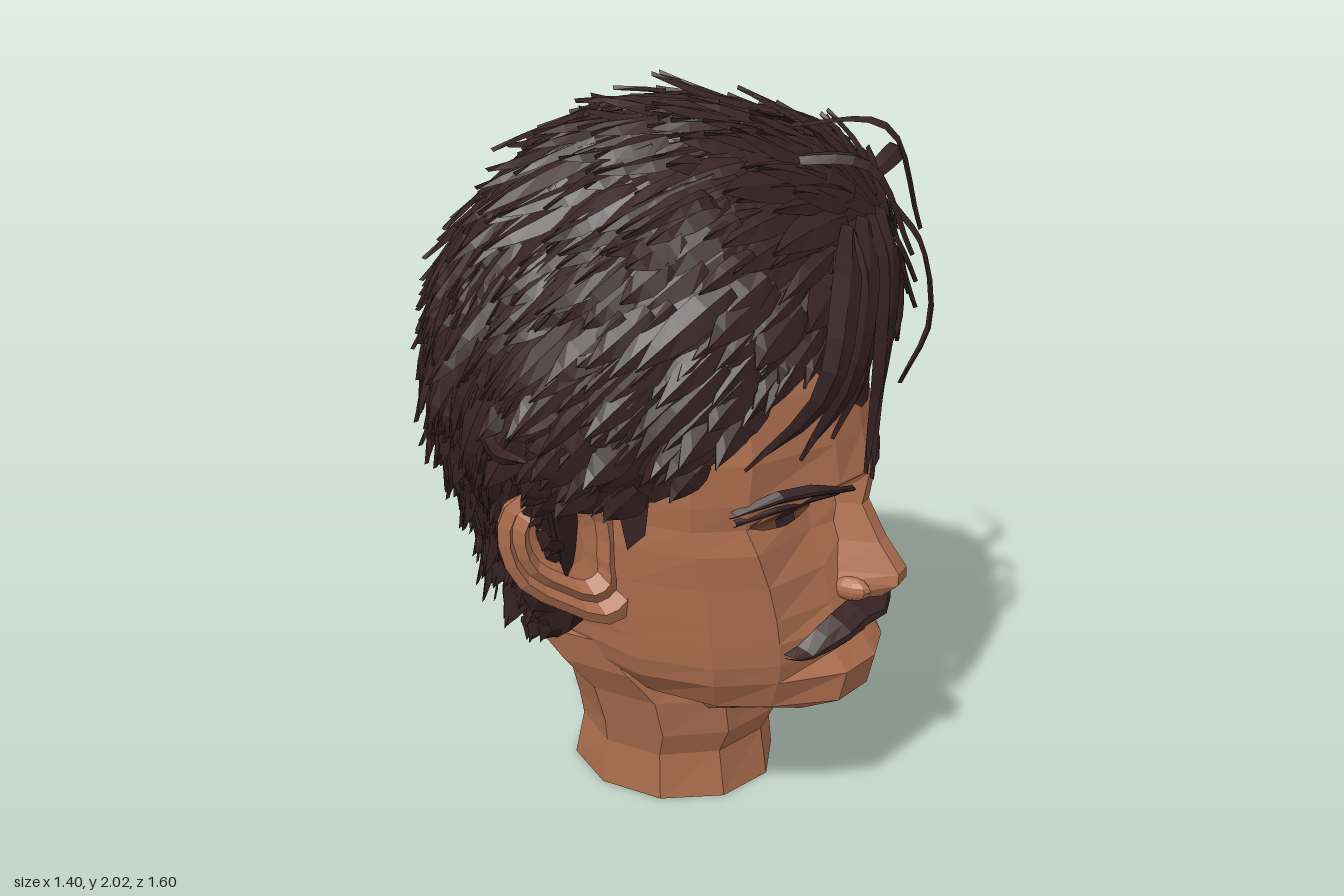
import * as THREE from 'three';
import { mergeGeometries } from 'three/addons/utils/BufferGeometryUtils.js';

const V = (x, y, z) => new THREE.Vector3(x, y, z);
const mat = (name, color) => new THREE.MeshStandardMaterial({ name, color, flatShading: true, side: THREE.DoubleSide });
let seed = 7;
const rnd = () => (seed = (seed * 16807) % 2147483647) / 2147483647;
const { lerp, clamp, smoothstep } = THREE.MathUtils;

// Skin over cross-section rings; optional end caps and open rings
function loft(rings, capA = true, capB = true, closed = true) {
  const n = rings[0].length, pts = rings.flat(), idx = [];
  for (let i = 0; i < rings.length - 1; i++)
    for (let j = 0; j < (closed ? n : n - 1); j++) {
      const a = i * n + j, b = i * n + (j + 1) % n;
      idx.push(a, a + n, b, b, a + n, b + n);
    }
  const cap = (ring, base, flip) => {
    pts.push(ring.reduce((s, p) => s.add(p), V(0, 0, 0)).divideScalar(n));
    for (let j = 0; j < n; j++) {
      const a = base + j, b = base + (j + 1) % n;
      flip ? idx.push(pts.length - 1, a, b) : idx.push(pts.length - 1, b, a);
    }
  };
  if (capA) cap(rings[0], 0, true);
  if (capB) cap(rings[rings.length - 1], (rings.length - 1) * n, false);
  const g = new THREE.BufferGeometry().setFromPoints(pts);
  g.setIndex(idx);
  const out = g.toNonIndexed();
  out.computeVertexNormals();
  return out;
}

// Head levels: y, front x, mid x, cheek x, cheek z, side z
const HEAD = [
  [.32, .36, .34, .28, .16, .18], [.355, .50, .48, .38, .18, .23], [.41, .62, .59, .44, .25, .32],
  [.50, .64, .61, .47, .27, .40], [.56, .595, .57, .48, .28, .42], [.63, .61, .58, .48, .29, .43],
  [.70, .59, .555, .475, .30, .44], [.80, .57, .53, .46, .32, .45], [.90, .55, .49, .44, .35, .46],
  [.97, .545, .475, .41, .36, .46], [1.04, .60, .565, .42, .37, .47], [1.15, .57, .55, .43, .37, .48],
  [1.30, .54, .525, .41, .36, .50], [1.50, .49, .47, .36, .36, .50], [1.75, .30, .28, .20, .25, .30]];
const MID_Z = .13, SIDE_X = .12;

// Half outline points of one level, front to side
function faceLine([y, xf, xm, xc, zc, zs]) {
  const round = V(lerp(xc, SIDE_X, .5) + .03, y, lerp(zc, zs, .5) + .03);
  return [V(xf, y, 0), V(xm, y, MID_Z), V(xc, y, zc), round, V(SIDE_X, y, zs)];
}

function headRing(level) {
  const [front, ...half] = faceLine(level), y = level[0], zs = level[5];
  const back = -.27 - .27 * smoothstep(y, .3, .9) + .24 * smoothstep(y, 1.3, 1.8);
  half.push(V(lerp(back, SIDE_X, .25), y, zs * .75));
  const other = half.map(p => V(p.x, y, -p.z)).reverse();
  return [front, ...half, V(back, y, 0), ...other];
}

// Depth of the face at a height and a distance from the middle
function faceX(y, z) {
  let i = 0;
  while (i < HEAD.length - 2 && HEAD[i + 1][0] < y) i++;
  const t = clamp((y - HEAD[i][0]) / (HEAD[i + 1][0] - HEAD[i][0]), 0, 1);
  const line = faceLine(HEAD[i].map((v, k) => lerp(v, HEAD[i + 1][k], t)));
  const a = Math.abs(z);
  let k = 0;
  while (k < line.length - 2 && line[k + 1].z < a) k++;
  return lerp(line[k].x, line[k + 1].x, (a - line[k].z) / (line[k + 1].z - line[k].z));
}

// Strip lying on the face: rows of z, low y, high y, with a bulge
function faceStrip(rows, off, bulge = 0) {
  const rings = rows.map(([z, lo, hi]) => Array.from({ length: 6 }, (_, k) => {
    const y = lerp(lo, hi, k / 5);
    return V(faceX(y, z) + off + bulge * Math.sin(Math.PI * k / 5), y, z);
  }));
  return loft(rings, false, false, false);
}
const flipRows = rows => rows.map(([z, a, b]) => [-z, a, b]).reverse();

// Hair volume: stretched ball around a centre inside the head
const C = V(0, 1.25, 0);
function hull(dir, scale = 1) {
  const d = dir.clone().normalize();
  const ex = d.x > 0 ? .6 : .64, ey = d.y > 0 ? .715 : 1.12;
  const ez = .72 - .14 * smoothstep(-d.y, -.1, .7) - .07 * clamp(d.x * 1.5, 0, 1);
  const p = 1.92 + .8 * clamp(d.x * 2, 0, 1);
  const s = Math.abs(d.x / ex) ** p + Math.abs(d.y / ey) ** p + Math.abs(d.z / ez) ** p;
  return d.multiplyScalar(scale * s ** (-1 / p)).add(C);
}
// Lower hair edge by angle from the face, over temple, ear and nape
const HEM = [[0, 1.42], [.6, 1.42], [.85, 1.25], [1.1, 1.1], [1.55, 1.08], [1.67, .62], [1.95, .53], [3.2, .51]];
function hem(x, z) {
  const a = Math.atan2(Math.abs(z), x);
  let i = 0;
  while (HEM[i + 1][0] < a && i < HEM.length - 2) i++;
  return lerp(HEM[i][1], HEM[i + 1][1], (a - HEM[i][0]) / (HEM[i + 1][0] - HEM[i][0]));
}

function hairCap() {
  const cols = 72, rows = 14, rings = Array.from({ length: rows + 2 }, () => []);
  for (let j = 0; j < cols; j++) {
    const a = j / cols * Math.PI * 2, ca = Math.cos(a), sa = Math.sin(a);
    const at = phi => hull(V(ca * Math.cos(phi), Math.sin(phi), sa * Math.cos(phi)), .97);
    let lo = -1.5, hi = 1.5;
    for (let k = 0; k < 24; k++) {
      const m = (lo + hi) / 2;
      if (at(m).y < hem(ca, sa)) lo = m; else hi = m;
    }
    const edge = at(lo);
    rings[0].push(V(edge.x * .78, edge.y + .02, edge.z * .74));
    for (let i = 0; i <= rows; i++) rings[i + 1].push(at(lerp(lo, 1.54, i / rows)));
  }
  return loft(rings, false, true);
}

// Tapered lock with a raised middle ridge
function lock(path, width) {
  const n = path.length - 1;
  const rings = path.map((p, i) => {
    const t = path[Math.min(n, i + 1)].clone().sub(path[Math.max(0, i - 1)]).normalize();
    const out = p.clone().sub(C).normalize();
    const side = t.clone().cross(out).normalize();
    const w = width * Math.sin(Math.PI * (.2 + .79 * i / n)) / 2;
    return [p.clone().addScaledVector(side, -w), p.clone().addScaledVector(out, .012), p.clone().addScaledVector(side, w)];
  });
  return loft(rings, false, false, false);
}
const curvedLock = (points, width) => lock(new THREE.CatmullRomCurve3(points).getPoints(10), width);

// Locks combed away from a whorl above the forehead
function combedLocks(count) {
  const whorl = V(.52, 1.62, -.2), dark = [], brown = [], patch = V(-.2, 1.45, -.66);
  while (dark.length < count) {
    const u = rnd() * 2 - 1, a = rnd() * Math.PI * 2, r = Math.sqrt(1 - u * u);
    let p = hull(V(r * Math.cos(a), u, r * Math.sin(a)));
    if (p.y < hem(p.x, p.z) + .03) continue;
    const len = .16 + rnd() * .22, lift = rnd() ** 2 * .1, base = .975 + rnd() * .025, path = [];
    const swirl = (rnd() - .5) * .6;
    for (let i = 0; i < 5; i++) {
      path.push(hull(p.clone().sub(C), base + lift * (i / 4) ** 2));
      const d = p.clone().sub(whorl).normalize();
      d.y -= .25 + .9 * smoothstep(-p.x, -.1, .5);
      d.z += swirl * i / 3;
      p = hull(p.clone().addScaledVector(d.normalize(), len / 4).sub(C));
    }
    const tip = path[4];
    if (tip.y < hem(tip.x, tip.z) - .06) continue;
    const isBrown = rnd() < .008 || (path[2].distanceTo(patch) < .16 && rnd() < .4);
    (isBrown ? brown : dark).push(lock(path, .05 + rnd() * .06));
  }
  return [mergeGeometries(dark), mergeGeometries(brown)];
}

// Forelock falling from the whorl over the hair edge to a free tip
function forelock(width, z0, x1, y1, z1) {
  const over = (y, k, s) => hull(V(.56, y, lerp(z0, z1, k)).sub(C), s);
  return curvedLock([V(.55, 1.7, z0), over(1.57, .45, 1.09), over(1.36, .8, 1.1), V(x1, y1, z1)], width);
}

// Ear leaf: back, rim, inner fold and hollow
function ear(s) {
  const outline = new THREE.CatmullRomCurve3([[0, .8], [0, 1], [.06, 1.09], [.18, 1.11], [.28, 1.05],
    [.3, .95], [.26, .82], [.16, .73], [.06, .67], [0, .71]].map(([u, v]) => V(u, v, 0)), true).getPoints(20).slice(0, 20);
  const ring = (k, depth) => outline.map(q => {
    const u = lerp(.14, q.x, k), y = lerp(.91, q.y, k);
    return V(.12 - .78 * u + .78 * depth, y, s * (.44 + .87 * u + .62 * depth - .06 * (1.1 - y)));
  });
  return loft([ring(.55, -.1), ring(.92, -.05), ring(1, 0), ring(.85, .012), ring(.76, -.025),
    ring(.62, -.005), ring(.5, -.045), ring(.3, -.055)]);
}

export function createModel() {
  const model = new THREE.Group();
  const skin = mat('skin', 0xb07050), hair = mat('dark hair', 0x362224), brown = mat('brown', 0x683f2b);
  const add = (name, geo, m) => {
    const mesh = new THREE.Mesh(geo, m);
    mesh.name = name;
    model.add(mesh);
    return mesh;
  };

  add('head', loft(HEAD.map(headRing)), skin);

  // Neck levels: y, front x, back x, half width
  const neck = [[0, .31, -.31, .27], [.15, .29, -.27, .27], [.23, .33, -.28, .29], [.35, .33, -.3, .32],
    [.45, .28, -.37, .37], [.55, .18, -.44, .39]];
  add('neck', loft(neck.map(([y, f, b, w]) => Array.from({ length: 10 }, (_, i) => {
    const a = i / 10 * Math.PI * 2;
    return V((f + b) / 2 + (f - b) / 2 * Math.cos(a), y, w * 1.04 * Math.sin(a) - .03 * (1 - y));
  }))), skin);

  // Nose levels: y, ridge x, half width, ridge half width
  const nose = [[.685, .6, .07, .03], [.70, .66, .095, .035], [.74, .705, .1, .035], [.77, .705, .09, .03],
    [.85, .645, .07, .026], [.95, .59, .055, .025], [1.04, .605, .05, .02]];
  add('nose', loft(nose.map(([y, x, w, r]) => {
    const b = faceX(y, w) - .02;
    return [V(b, y, -w), V(x, y, -r), V(x, y, r), V(b, y, w)];
  })), skin);

  // Face features in pairs
  const brow = [[.05, .985, 1.01], [.13, 1.005, 1.035], [.22, 1.025, 1.065], [.31, 1.03, 1.07], [.40, 1.01, 1.03]];
  const eye = [[.13, .965, .975], [.18, .95, .995], [.25, .945, 1.0], [.31, .955, 1.0], [.36, .975, .985]];
  const iris = [[.2, .95, 1.0], [.235, .946, 1.005], [.27, .95, 1.0]];
  const lid = [[.08, .98, 1.0], [.2, .993, 1.015], [.3, .995, 1.02], [.39, .98, 1.005]];
  const burn = new THREE.Shape([[-.05, 1.14], [-.04, 1], [-.02, .91], [.03, .96], [.05, 1.14]].map(q => new THREE.Vector2(...q)));
  for (const s of [1, -1]) {
    const side = s > 0 ? 'left' : 'right', m = rows => s > 0 ? rows : flipRows(rows);
    add(side + 'Ear', ear(s), skin);
    add(side + 'Eyebrow', faceStrip(m(brow), .012, .022), hair);
    add(side + 'Eye', faceStrip(m(eye), .008), brown);
    add(side + 'Iris', faceStrip(m(iris), .013), hair);
    add(side + 'UpperLid', faceStrip(m(lid), .01, .012), hair);
    const nostril = add(side + 'Nostril', new THREE.SphereGeometry(.04, 10, 8), skin);
    nostril.scale.set(1.5, .85, .75);
    nostril.position.set(.585, .725, s * .075);
    const sideburn = add(side + 'Sideburn', new THREE.ShapeGeometry(burn), hair);
    sideburn.rotation.y = s * .1;
    sideburn.position.set(.16, 0, s * .488);
  }

  const half = [[.08, .6, .69], [.15, .575, .675], [.2, .565, .65], [.25, .57, .615], [.285, .59, .6]];
  add('moustache', faceStrip([...flipRows(half), [0, .61, .67], ...half], .01, .05), hair);
  add('mouth', faceStrip([[-.15, .565, .57], [0, .57, .59], [.15, .565, .57]], .008), brown);

  // Hair
  add('widowsPeak', faceStrip([[-.4, 1.32, 1.46], [-.27, 1.38, 1.47], [-.15, 1.27, 1.48], [-.07, 1.21, 1.49],
    [0, 1.21, 1.49], [.1, 1.27, 1.48], [.2, 1.39, 1.47], [.36, 1.39, 1.46]], .009), hair);
  add('hairCap', hairCap(), hair);
  const [dark, accents] = combedLocks(1500);
  add('hairLocks', dark, hair);
  add('brownLocks', accents, brown);

  // Forelocks: width, root z, tip x, y, z
  const forelocks = [[.1, -.12, .64, 1.1, .16], [.08, -.05, .65, 1.08, .14], [.1, 0, .53, 1.17, .32],
    [.09, .1, .42, 1.15, .4], [.07, .1, .57, 1.2, .22], [.07, -.2, .57, 1.2, -.26]];
  add('forelocks', mergeGeometries(forelocks.map(f => forelock(...f))), hair);

  // Stray wisps: root, bend and tip
  const wisps = [
    [V(.3, 1.9, -.1), V(.53, 1.91, -.16), V(.59, 1.62, -.3)],
    [V(.35, 1.85, .1), V(.55, 1.84, 0), V(.64, 1.6, -.1)],
    [V(.4, 1.72, -.4), V(.43, 1.78, -.55), V(.3, 1.69, -.76)],
    [V(.3, 1.75, .35), V(.34, 1.82, .45), V(.2, 1.74, .6)],
    [V(-.15, 1.3, .68), V(-.08, 1.23, .74), V(.05, 1.24, .79)],
    [V(-.1, 1.35, -.69), V(-.06, 1.24, -.74), V(0, 1.28, -.79)]];
  add('wisps', mergeGeometries(wisps.map(w => curvedLock(w, .06))), hair);
  return model;
}
